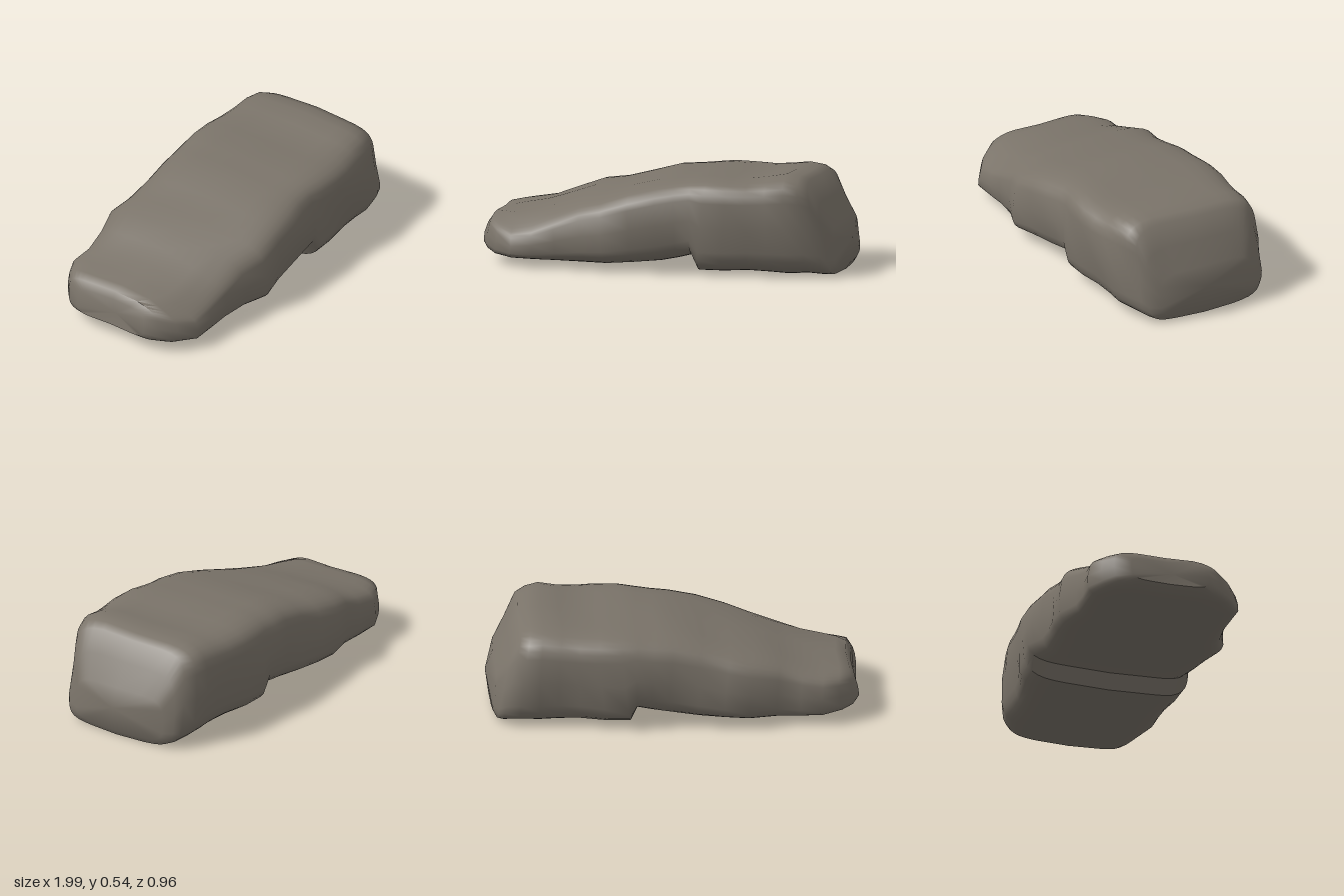
import * as THREE from 'three';
import { toCreasedNormals } from 'three/addons/utils/BufferGeometryUtils.js';

// Cross-sections along the boulder:
// [x at bottom, x at top, y bottom, y top, z back, z front, front bevel]
const sections = [
  [-0.99, -0.96, 0.09, 0.235, -0.28, 0.17, 0.1],
  [-0.955, -0.935, 0.065, 0.27, -0.36, 0.24, 0.2],
  [-0.9, -0.88, 0.05, 0.28, -0.41, 0.32, 0.3],
  [-0.8, -0.8, 0.042, 0.295, -0.46, 0.39, 0.35],
  [-0.68, -0.69, 0.037, 0.315, -0.455, 0.4, 0.32],
  [-0.55, -0.57, 0.035, 0.355, -0.45, 0.41, 0.25],
  [-0.4, -0.43, 0.033, 0.4, -0.48, 0.42, 0.15],
  [-0.27, -0.3, 0.038, 0.425, -0.47, 0.46, 0.1],
  [-0.13, -0.15, 0.045, 0.465, -0.46, 0.44, 0.08],
  [0.02, 0, 0.06, 0.5, -0.455, 0.44, 0.05],
  [0.12, 0.1, 0.08, 0.505, -0.46, 0.435, 0],
  [0.195, 0.19, 0.1, 0.515, -0.46, 0.435, 0],
  [0.23, 0.28, 0.015, 0.525, -0.465, 0.445, 0],
  [0.36, 0.4, 0.015, 0.522, -0.455, 0.44, 0],
  [0.5, 0.5, 0.022, 0.52, -0.44, 0.43, 0],
  [0.62, 0.6, 0.018, 0.53, -0.435, 0.425, 0],
  [0.72, 0.7, 0.013, 0.545, -0.435, 0.425, 0],
  [0.83, 0.77, 0.018, 0.535, -0.425, 0.4, 0],
  [0.92, 0.82, 0.008, 0.515, -0.385, 0.365, 0],
  [0.955, 0.88, 0.008, 0.4, -0.345, 0.335, 0],
  [0.975, 0.955, 0.04, 0.28, -0.29, 0.28, 0],
];
const SIDES = 32;

// Smooth repeatable unevenness, about -1 to 1
const lump = (x, y, z) =>
  (Math.sin(9 * x + 5 * z + 1) + Math.sin(8 * z - 7 * y + 4 * x) + Math.sin(13 * y + 11 * x - 6 * z)) / 3;

function ringPoint([xb, xt, yb, yt, zb, zf, bevel], j) {
  const a = (j / SIDES) * Math.PI * 2;
  const c = Math.cos(a), s = Math.sin(a);
  const round = (v) => Math.sign(v) * Math.pow(Math.abs(v), 0.4);
  const u = round(c), v = round(s);
  const h = (v + 1) / 2;
  let z = (zb + zf) / 2 + (u * (zf - zb)) / 2;
  let y = yb + h * (yt - yb);
  let x = xb + (xt - xb) * h;
  // sloping shoulder on the front edge of the thin end
  y -= bevel * Math.max(0, z - 0.12) * h;
  // upper half leans in slightly, sides and ends are uneven
  z *= 1 - 0.06 * Math.max(0, h - 0.55);
  const n = lump(x, y, z);
  z += 0.022 * n * u;
  y += 0.008 * n * Math.max(0, v);
  x += 0.012 * Math.sin(14 * z + 2) * (1 - Math.abs(v) * 0.5);
  return [THREE.MathUtils.clamp(x, -1, 1), Math.max(0, y), z];
}

function boulderGeometry() {
  const positions = [], index = [];
  for (const sec of sections)
    for (let j = 0; j < SIDES; j++) positions.push(...ringPoint(sec, j));
  const last = sections.length - 1;
  for (let i = 0; i < last; i++)
    for (let j = 0; j < SIDES; j++) {
      const k = (j + 1) % SIDES;
      const a = i * SIDES + j, b = a + SIDES, c = i * SIDES + k, d = c + SIDES;
      index.push(a, b, c, b, d, c);
    }
  // blunt end caps
  const start = positions.length / 3;
  positions.push(-0.965, 0.16, -0.03, 1, 0.18, 0);
  for (let j = 0; j < SIDES; j++) {
    const k = (j + 1) % SIDES;
    index.push(start, j, k, start + 1, last * SIDES + k, last * SIDES + j);
  }
  const g = new THREE.BufferGeometry();
  g.setAttribute('position', new THREE.Float32BufferAttribute(positions, 3));
  g.setIndex(index);
  return toCreasedNormals(g, 0.9);
}

export function createModel() {
  const model = new THREE.Group();
  model.name = 'rock';
  const stone = new THREE.MeshStandardMaterial({ color: 0x7a7369 });
  stone.name = 'stone grey';
  const boulder = new THREE.Mesh(boulderGeometry(), stone);
  boulder.name = 'boulder';
  model.add(boulder);
  return model;
}
